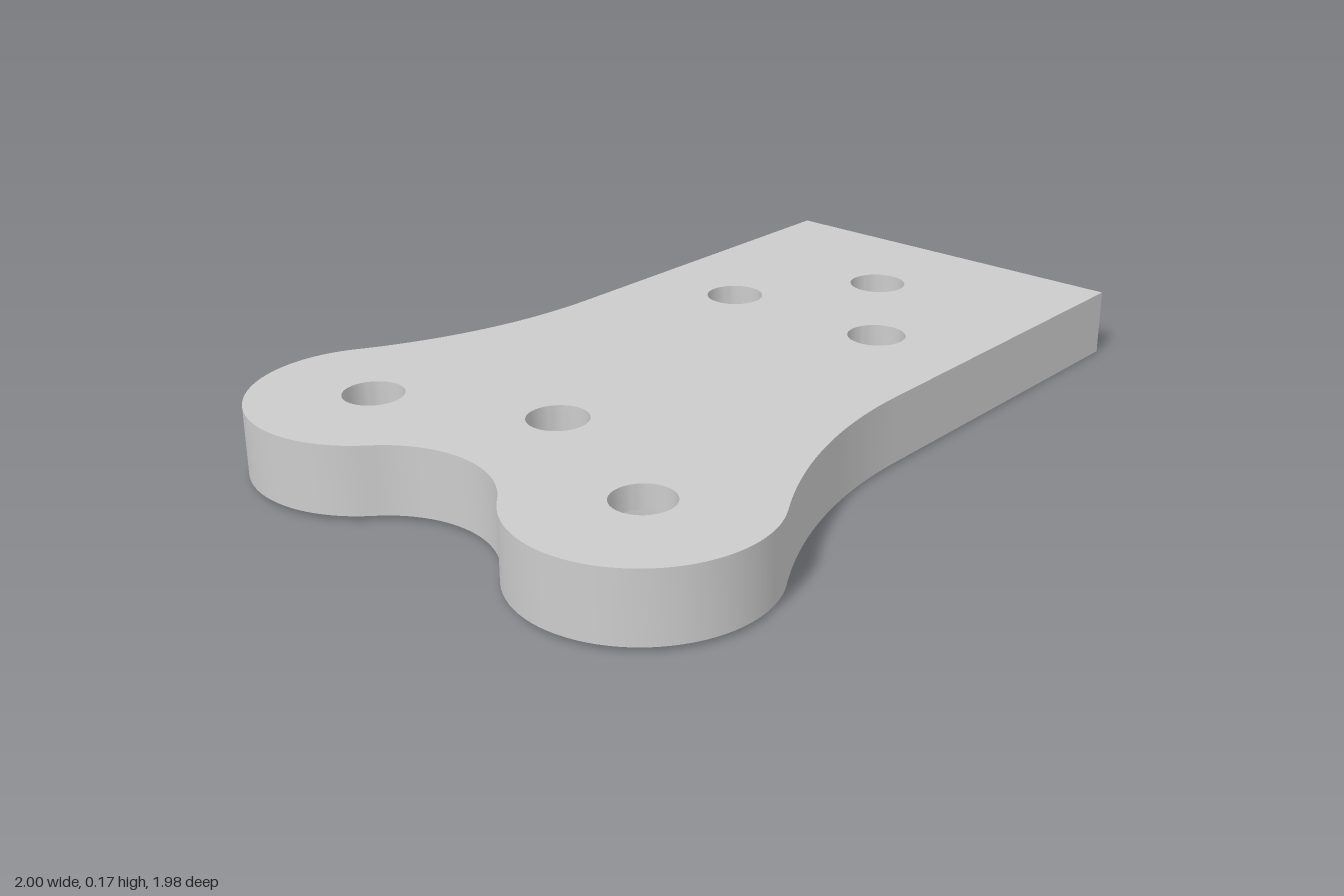
import * as THREE from 'three';
import { toCreasedNormals } from 'three/addons/utils/BufferGeometryUtils.js';

const T = 0.155;                       // plate thickness
const LOBE = 0.27, LOBE_V = 0.387;     // lobe radius and offset from the axis
const HALF = 0.458, END = 1.591;       // half width and far end of the bar
const R_SIDE = 1.1, R_FORK = 0.25;     // concave fillet radii
const HOLE = 0.067, BORE = 0.15, BORE_DEPTH = 0.1;
const SEG = 20;

// Hole centres: u along the plate axis, v across it
const HOLES = [[0, LOBE_V], [0, -LOBE_V], [0.163, 0], [0.983, 0.212], [0.983, -0.212], [1.284, 0]];

// Forked outline, optionally pierced by holes of one radius
function outline(holeRadius) {
  const cu = Math.sqrt((R_SIDE + LOBE) ** 2 - (HALF + R_SIDE - LOBE_V) ** 2);
  const cv = HALF + R_SIDE;
  const fu = -Math.sqrt((R_FORK + LOBE) ** 2 - LOBE_V ** 2);
  const a = Math.atan2(cv - LOBE_V, cu);      // lobe centre towards side fillet centre
  const b = Math.atan2(LOBE_V, -fu);          // fork fillet centre towards lobe centre
  const s = new THREE.Shape();
  s.moveTo(END, HALF);
  s.lineTo(cu, HALF);
  s.absarc(cu, cv, R_SIDE, -Math.PI / 2, a - Math.PI, true);
  s.absarc(0, LOBE_V, LOBE, a, Math.PI + b, false);
  s.absarc(fu, 0, R_FORK, b, -b, true);
  s.absarc(0, -LOBE_V, LOBE, Math.PI - b, 2 * Math.PI - a, false);
  s.absarc(cu, -cv, R_SIDE, Math.PI - a, Math.PI / 2, true);
  s.lineTo(END, -HALF);
  s.closePath();
  if (holeRadius) {
    for (const [u, v] of HOLES) {
      s.holes.push(new THREE.Path().absarc(u, v, holeRadius, 0, Math.PI * 2, true));
    }
  }
  return s;
}

// Outer wall only: the side faces of an extrusion, without its caps
function wallGeometry() {
  const solid = new THREE.ExtrudeGeometry(outline(), { depth: T, bevelEnabled: false, curveSegments: SEG });
  const { start, count } = solid.groups[1];
  const wall = new THREE.BufferGeometry();
  const pos = solid.attributes.position.array.slice(start * 3, (start + count) * 3);
  wall.setAttribute('position', new THREE.BufferAttribute(pos, 3));
  wall.rotateX(-Math.PI / 2);
  return toCreasedNormals(wall, 0.6);
}

export function createModel() {
  const model = new THREE.Group();
  model.name = 'forkedPlate';
  const material = new THREE.MeshStandardMaterial({ color: 0xcccccc });
  const plate = new THREE.Group();
  plate.name = 'plate';
  const add = (name, geometry) => {
    const mesh = new THREE.Mesh(geometry, material);
    mesh.name = name;
    plate.add(mesh);
    return mesh;
  };

  add('outerWall', wallGeometry());

  // Top face with the narrow holes, underside with the wide counterbores
  add('topFace', new THREE.ShapeGeometry(outline(HOLE), SEG).rotateX(-Math.PI / 2).translate(0, T, 0));
  // The outline is symmetric in v, so turning it the other way makes it face down
  add('underside', new THREE.ShapeGeometry(outline(BORE), SEG).rotateX(Math.PI / 2));

  // Stepped hole linings
  const profile = [[HOLE, T], [HOLE, T - (T - BORE_DEPTH)], [BORE, BORE_DEPTH], [BORE, 0]]
    .map(([r, y]) => new THREE.Vector2(r, y));
  const lining = toCreasedNormals(new THREE.LatheGeometry(profile, SEG * 2), 0.6);
  HOLES.forEach(([u, v], i) => {
    add('counterboredHole' + (i + 1), lining).position.set(u, 0, -v);
  });

  // Lay the plate diagonally, with a very slight tilt
  plate.rotation.set(0, 0.7698, -0.0055);
  plate.position.set(-0.4625, 0.0088, 0.4375);
  model.add(plate);
  return model;
}
